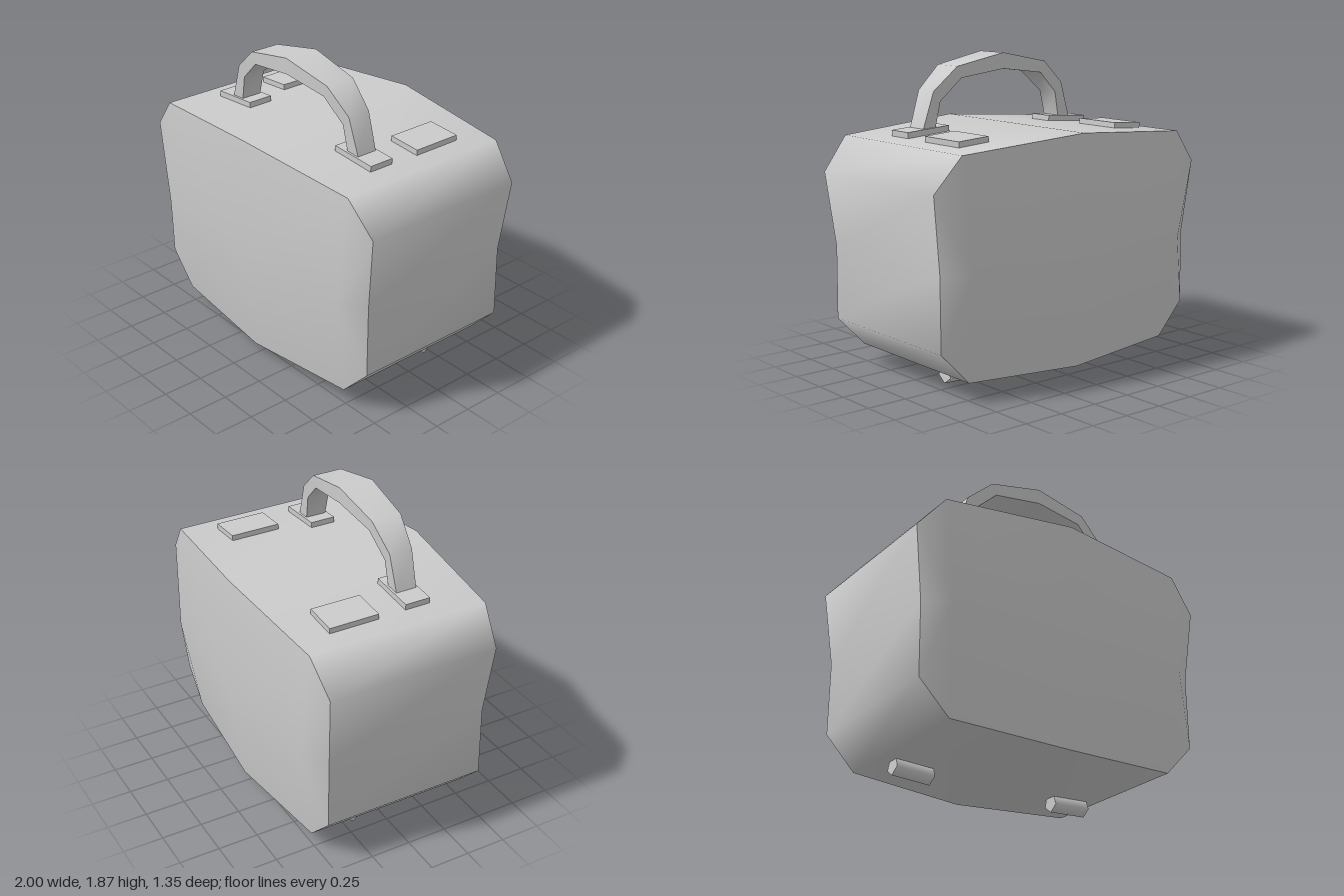
import * as THREE from 'three';

const material = new THREE.MeshStandardMaterial({ color: 0xcccccc });

function buildGeometry(points, index) {
  const g = new THREE.BufferGeometry();
  g.setAttribute('position', new THREE.Float32BufferAttribute(points.flat(), 3));
  g.setIndex(index);
  g.computeVertexNormals();
  return g;
}

// Smooth band of quads between two rows of points
function strip(a, b, closed = false) {
  const n = a.length, index = [];
  for (let i = 0; i < (closed ? n : n - 1); i++) {
    const j = (i + 1) % n;
    index.push(i, n + i, n + j, i, n + j, j);
  }
  return buildGeometry([...a, ...b], index);
}

function addMesh(parent, name, geometry) {
  const mesh = new THREE.Mesh(geometry, material);
  mesh.name = name;
  parent.add(mesh);
  return mesh;
}

const mirrorX = ([x, ...rest]) => [-x, ...rest];

function createBody() {
  const body = new THREE.Group();
  body.name = 'caseBody';
  // Rim of the front panel, bottom centre to top centre, then mirrored
  const half = [
    [0, 0.075, 0.58], [0.755, 0.11, 0.52], [0.945, 0.305, 0.515], [0.945, 0.75, 0.51],
    [1, 1.2, 0.535], [0.83, 1.4, 0.565], [0, 1.46, 0.63],
  ];
  const rim = [...half, ...half.slice(1, -1).reverse().map(mirrorX)];
  const backRim = rim.map(([x, y, z]) => [x, y, -z]);
  addMesh(body, 'caseShell', strip(rim, backRim, true));

  // Bulged panel: the rim plus a centre point and one point near each side
  const C = 12, R = 13, L = 14;
  const points = [...rim, [0, 0.75, 0.675], [0.8, 0.75, 0.617], [-0.8, 0.75, 0.617]];
  const index = [
    C, 0, 1, C, 1, R, C, R, 5, C, 5, 6,
    C, 6, 7, C, 7, L, C, L, 11, C, 11, 0,
  ];
  for (let i = 1; i < 5; i++) index.push(R, i, i + 1, L, i + 6, i + 7);
  const panel = buildGeometry(points, index);
  addMesh(body, 'frontPanel', panel);
  addMesh(body, 'backPanel', panel).rotation.y = Math.PI;
  return body;
}

function createHandle() {
  const handle = new THREE.Group();
  handle.name = 'handle';
  // Sections: outer x, outer y, inner x, inner y, half width
  const half = [
    [0.575, 1.44, 0.485, 1.44, 0.065],
    [0.5, 1.67, 0.45, 1.61, 0.073],
    [0.34, 1.81, 0.31, 1.74, 0.095],
    [0, 1.877, 0, 1.78, 0.11],
  ];
  const mirrored = half.slice(0, -1).reverse().map(([ox, oy, ix, iy, w]) => [-ox, oy, -ix, iy, w]);
  const sections = [...half, ...mirrored];
  const z = 0.2;
  const rows = [
    sections.map(([ox, oy, , , w]) => [ox, oy, z + w]),
    sections.map(([ox, oy, , , w]) => [ox, oy, z - w]),
    sections.map(([, , ix, iy, w]) => [ix, iy, z - w]),
    sections.map(([, , ix, iy, w]) => [ix, iy, z + w]),
  ];
  ['Top', 'Back', 'Underside', 'Front'].forEach((side, i) =>
    addMesh(handle, 'handle' + side, strip(rows[i], rows[(i + 1) % 4])));
  return handle;
}

export function createModel() {
  const model = new THREE.Group();
  model.name = 'carryCase';
  model.add(createBody(), createHandle());

  const baseGeometry = new THREE.BoxGeometry(0.3, 0.045, 0.16);
  const padGeometry = new THREE.BoxGeometry(0.212, 0.045, 0.312);
  // Five-sided foot lying along x with one corner pointing down
  const footGeometry = new THREE.CylinderGeometry(0.058, 0.058, 0.25, 5, 1, false, -Math.PI / 2);
  footGeometry.rotateZ(Math.PI / 2);

  for (const [side, s] of [['left', 1], ['right', -1]]) {
    // Plates follow the slope of the lid, feet the slope of the underside
    const base = addMesh(model, side + 'HandleBase', baseGeometry);
    base.position.set(s * 0.542, 1.433, 0.2);
    base.rotation.z = -s * 0.065;
    const pad = addMesh(model, side + 'TopPad', padGeometry);
    pad.position.set(s * 0.595, 1.428, -0.215);
    pad.rotation.z = -s * 0.065;
    const foot = addMesh(model, side + 'Foot', footGeometry);
    foot.position.set(s * 0.555, 0.068, -0.195);
    foot.rotation.z = s * 0.05;
  }
  return model;
}
